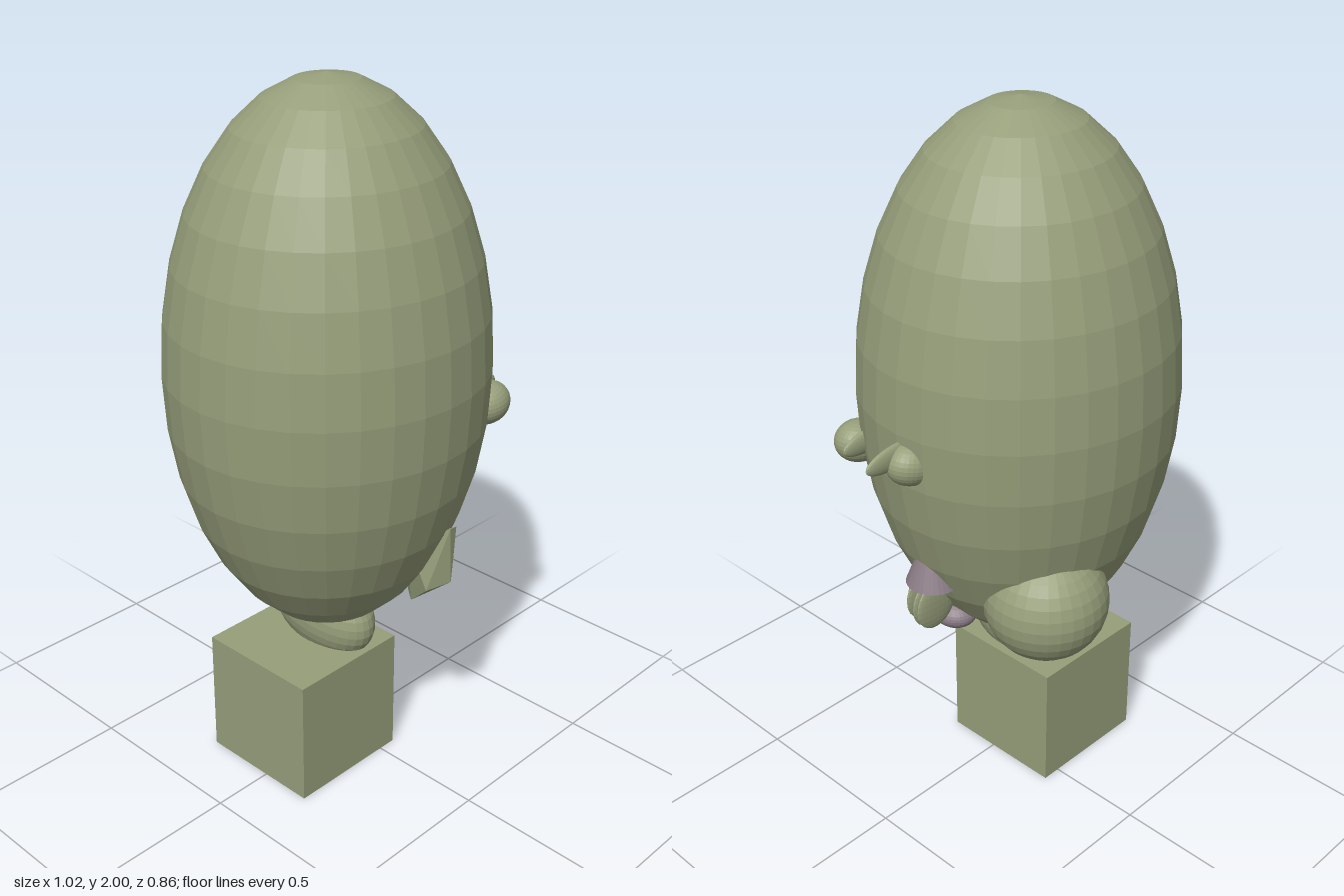
import * as THREE from 'three';
import { ConvexGeometry } from 'three/addons/geometries/ConvexGeometry.js';

export function createModel() {
  const model = new THREE.Group();
  const olive = new THREE.MeshStandardMaterial({ color: 0x969e7a });
  olive.name = 'olive';
  const mauve = new THREE.MeshStandardMaterial({ color: 0x8c7d87 });
  mauve.name = 'mauve';
  olive.flatShading = mauve.flatShading = true;

  const add = (name, geometry, material, x, y, z) => {
    const mesh = new THREE.Mesh(geometry, material);
    mesh.name = name;
    mesh.position.set(x, y, z);
    model.add(mesh);
    return mesh;
  };
  // Ellipsoid given by its centre and three radii
  const ellipsoid = (name, material, [x, y, z], [rx, ry, rz], w = 32, h = 16) =>
    add(name, new THREE.SphereGeometry(1, w, h).scale(rx, ry, rz), material, x, y, z);

  // Base block, neck and egg-shaped head
  add('baseBlock', new THREE.BoxGeometry(0.375, 0.375, 0.375), olive, -0.133, 0.1875, -0.03);
  const neck = ellipsoid('neck', olive, [-0.055, 0.45, -0.022], [0.1, 0.13, 0.183]);
  neck.rotation.x = 0.15;
  ellipsoid('head', olive, [-0.055, 1.225, 0], [0.455, 0.775, 0.432]);

  // Eyes, each with a flat pointed pupil standing out toward +x
  const eyes = [
    { eye: [0.305, 1.072, 0.26], pupil: [0.31, 1.1, 0.205] },
    { eye: [0.372, 1.14, -0.022], pupil: [0.41, 1.167, -0.004] },
  ];
  for (const { eye, pupil } of eyes) {
    ellipsoid('eye', olive, eye, [0.073, 0.06, 0.062]).rotation.z = 0.15;
    ellipsoid('pupil', olive, pupil, [0.098, 0.035, 0.015]).rotation.z = -0.08;
  }

  // Mouth: cone lip above, thin disc teeth, oval lip below
  add('upperLip', new THREE.ConeGeometry(0.077, 0.2, 32), mauve, 0.278, 0.82, 0.006);
  const teeth = [[0.255, 0.062], [0.275, 0.045], [0.29, 0.005], [0.29, -0.013]];
  for (const [x, z] of teeth) ellipsoid('tooth', olive, [x, 0.655, z], [0.07, 0.075, 0.013], 24, 12);
  ellipsoid('lowerLip', mauve, [0.19, 0.567, 0.018], [0.06, 0.043, 0.068]);

  // Round ear at the back
  ellipsoid('roundEar', olive, [0.085, 0.68, -0.235], [0.175, 0.172, 0.175]);

  // Faceted shard ear at the front
  const shard = [
    [0.035, 0.818, 0.368], [0.07, 0.81, 0.36], [-0.025, 0.64, 0.34], [0.045, 0.65, 0.368],
    [0.04, 0.535, 0.23], [0.09, 0.525, 0.175], [0.13, 0.69, 0.285], [0.115, 0.645, 0.315],
    [0.05, 0.72, 0.2],
  ].map((p) => new THREE.Vector3(...p));
  add('shardEar', new ConvexGeometry(shard), olive, 0, 0, 0);

  return model;
}
